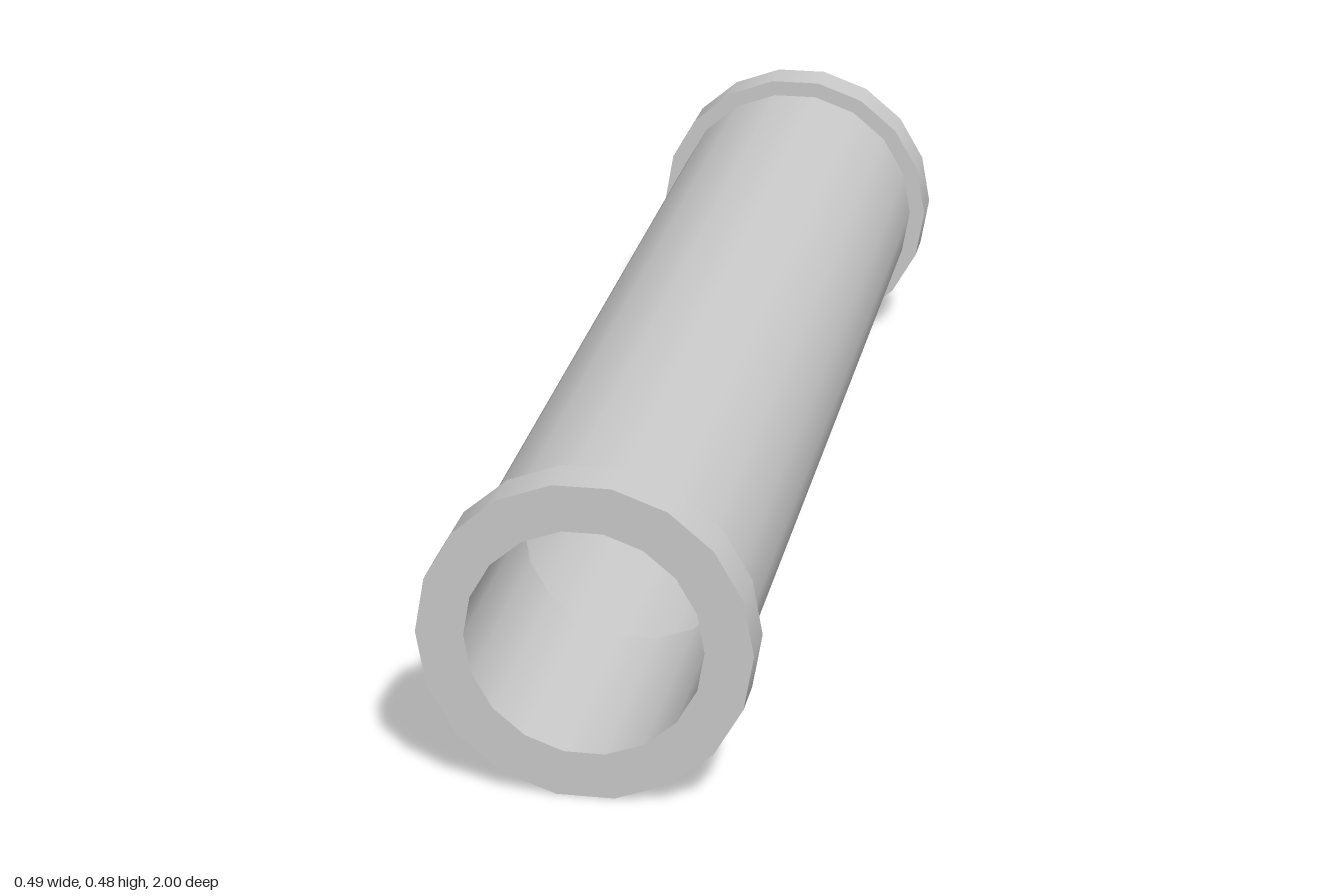
import * as THREE from 'three';

const SIDES = 18;
const RIM = 0.243, TUBE = 0.216, BORE = 0.173;
const END = 1, STEP = 0.925, SLEEVE_END = 0.61;

export function createModel() {
  const model = new THREE.Group();
  model.name = 'flangedPipe';
  const material = new THREE.MeshStandardMaterial({ color: 0xcccccc, side: THREE.DoubleSide });

  // One smooth band of revolution between two [radius, z] points, with a corner on +x and -x
  function band(name, from, to, parent) {
    const points = [from, to].map(([r, z]) => new THREE.Vector2(r, z));
    const geometry = new THREE.LatheGeometry(points, SIDES, Math.PI / 2);
    geometry.rotateX(Math.PI / 2);
    const mesh = new THREE.Mesh(geometry, material);
    mesh.name = name;
    parent.add(mesh);
  }

  // Long hollow body
  band('tubeWall', [TUBE, -STEP], [TUBE, STEP], model);

  // Back flange: end face, rim and shoulder
  const back = new THREE.Group();
  back.name = 'backFlange';
  band('backEndFace', [BORE, -END], [RIM, -END], back);
  band('backRim', [RIM, -END], [RIM, -STEP], back);
  band('backShoulder', [RIM, -STEP], [TUBE, -STEP], back);

  // Front flange: shoulder, rim and end face
  const front = new THREE.Group();
  front.name = 'frontFlange';
  band('frontShoulder', [TUBE, STEP], [RIM, STEP], front);
  band('frontRim', [RIM, STEP], [RIM, END], front);
  band('frontEndFace', [RIM, END], [BORE, END], front);

  // Inner sleeve lining the front opening
  band('frontSleeve', [BORE, END], [BORE, SLEEVE_END], front);

  model.add(back, front);

  // Rest the flat underside of the rims on the ground
  model.position.y = RIM * Math.cos(Math.PI / SIDES);
  return model;
}
